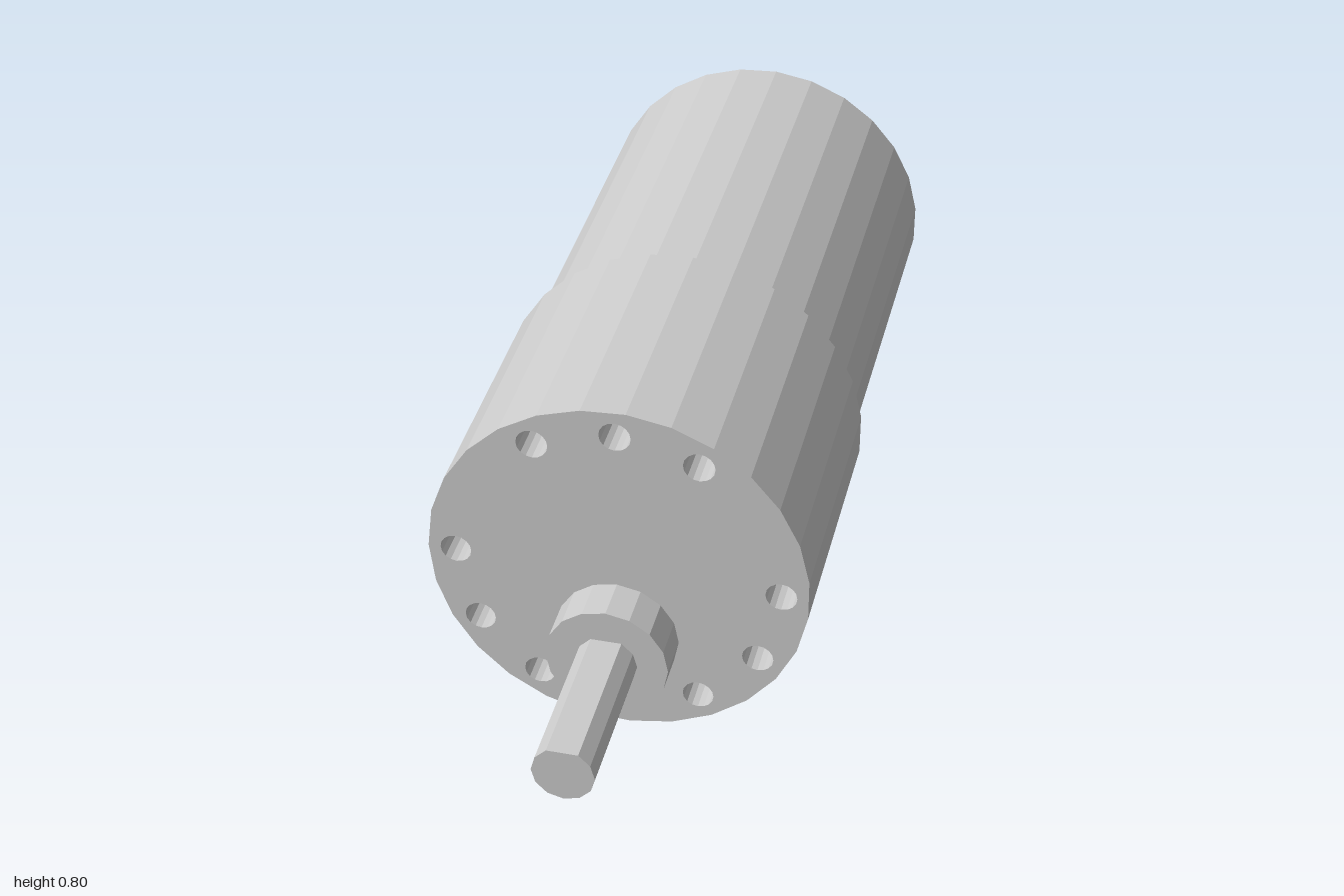
import * as THREE from 'three';

const AXIS_Y = 0.402;   // height of the main motor axis
const SHAFT_Y = 0.24;   // height of the offset output shaft

// Regular polygon corners in the XY plane, the first one at the -x side
function polygon(radius, sides, cx = 0, cy = 0) {
  return Array.from({ length: sides }, (_, i) => {
    const a = Math.PI + (i / sides) * Math.PI * 2;
    return new THREE.Vector2(cx + radius * Math.cos(a), cy + radius * Math.sin(a));
  });
}

// Turned part along z from [radius, z] pairs
function turned(profile, sides) {
  const points = profile.map(([r, z]) => new THREE.Vector2(r, z));
  return new THREE.LatheGeometry(points, sides, -Math.PI / 2).rotateX(Math.PI / 2);
}

export function createModel() {
  const model = new THREE.Group();
  const material = new THREE.MeshStandardMaterial({ color: 0xcccccc, flatShading: true });

  function add(name, geometry, x = 0, y = 0, z = 0) {
    const mesh = new THREE.Mesh(geometry, material);
    mesh.name = name;
    mesh.position.set(x, y, z);
    model.add(mesh);
    return mesh;
  }

  // Gearbox housing: rear shoulder and side wall
  add('gearboxHousing', turned([[0.33, -0.02], [0.402, -0.02], [0.402, 0.565]], 27), 0, AXIS_Y);

  // Front plate pierced by blind mounting holes with conical bottoms
  const holeRadius = 0.033;
  const plate = new THREE.Shape(polygon(0.402, 27));
  for (const degrees of [90, 60, 120, 0, 180, -30, 210, -60, 240]) {
    const a = THREE.MathUtils.degToRad(degrees);
    const x = 0.343 * Math.cos(a);
    const y = 0.343 * Math.sin(a);
    plate.holes.push(new THREE.Path(polygon(holeRadius, 16, x, y)));
    add('mountingHole',
      turned([[holeRadius, 0.565], [holeRadius, 0.45], [0, 0.43]], 16), x, AXIS_Y + y);
  }
  add('gearboxFrontPlate', new THREE.ShapeGeometry(plate), 0, AXIS_Y, 0.565);

  // Motor can with a thin rim around the recessed end cap
  add('motorCan', turned([
    [0, -0.885], [0.358, -0.885], [0.358, -0.905], [0.377, -0.905], [0.377, -0.02],
  ], 27), 0, AXIS_Y);

  // Rear bearing boss
  add('rearBoss', turned([[0, -0.99], [0.067, -0.99], [0.067, -0.885]], 16), 0, AXIS_Y);

  // Front bearing collar around the output shaft
  add('shaftCollar', turned([[0.13, 0.565], [0.13, 0.66], [0, 0.66]], 16), 0, SHAFT_Y);

  // D-shaped output shaft: a twelve-sided bar with its top corner cut flat
  const section = polygon(0.065, 12).filter((p) => p.y < 0.06);
  add('outputShaft', new THREE.ExtrudeGeometry(new THREE.Shape(section), {
    depth: 0.34, bevelEnabled: false,
  }), 0, SHAFT_Y, 0.66);

  // Solder terminals: thin pierced tabs standing radially on the end cap
  const tab = new THREE.Shape([[-0.03, -1], [0.03, -1], [0.03, -0.885], [-0.03, -0.885]]
    .map(([x, y]) => new THREE.Vector2(x, y)));
  tab.holes.push(new THREE.Path(polygon(0.015, 12, 0, -0.972)));
  const tabGeometry = new THREE.ExtrudeGeometry(tab, { depth: 0.008, bevelEnabled: false })
    .translate(0, 0, -0.004).rotateX(Math.PI / 2);
  for (const [degrees, radius] of [[-52, 0.224], [-106, 0.25]]) {
    const a = THREE.MathUtils.degToRad(degrees);
    const terminal = add('terminal', tabGeometry,
      radius * Math.cos(a), AXIS_Y + radius * Math.sin(a));
    terminal.rotation.z = a;
  }

  return model;
}
